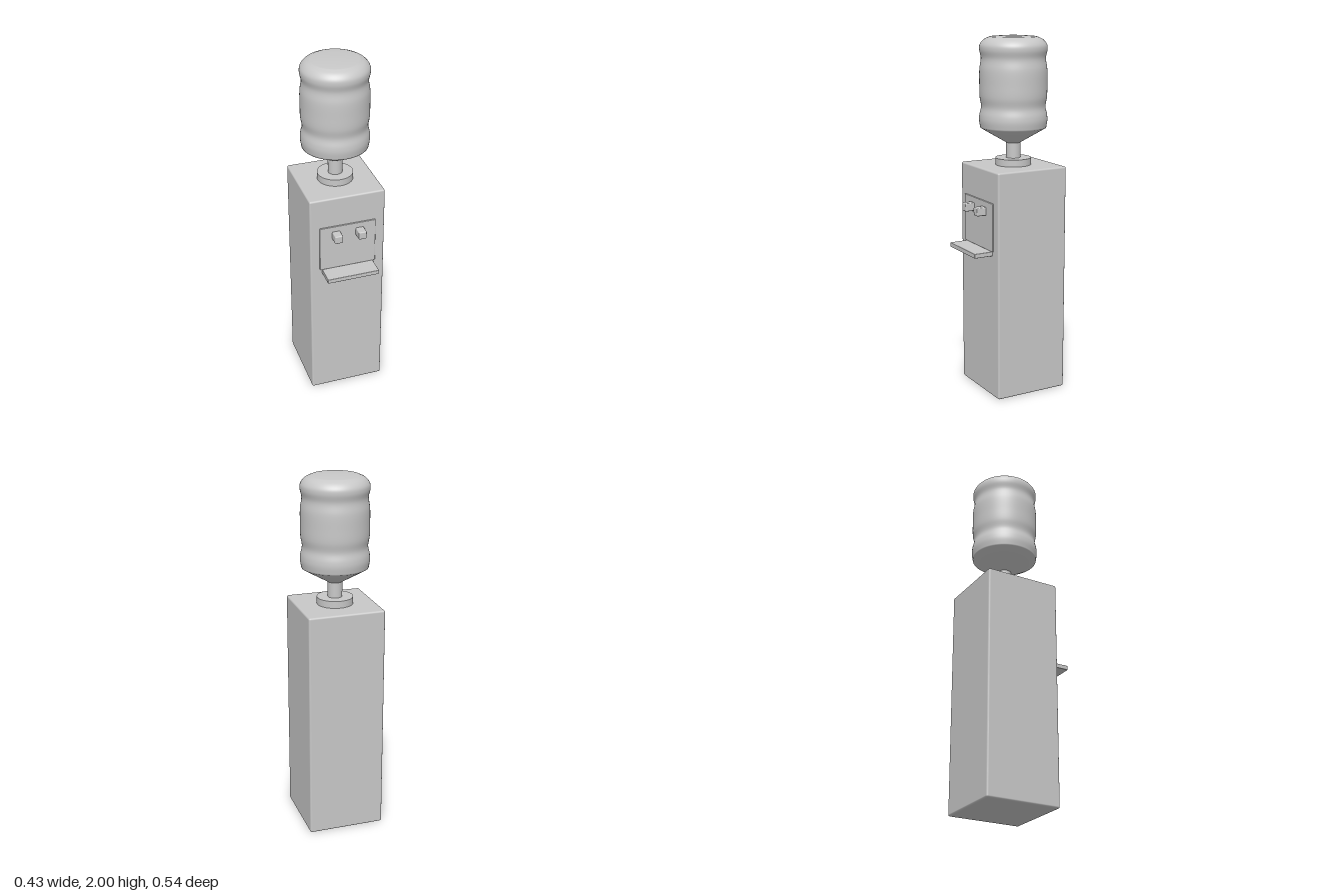
import * as THREE from 'three';
import { RoundedBoxGeometry } from 'three/addons/geometries/RoundedBoxGeometry.js';

const AXIS_Z = -0.055; // shared centre line of cabinet and bottle

export function createModel() {
  const model = new THREE.Group();
  model.name = 'waterDispenser';
  const grey = new THREE.MeshStandardMaterial({ name: 'light grey', color: 0xc8c8c8 });

  function add(name, geometry, x, y, z) {
    const mesh = new THREE.Mesh(geometry, grey);
    mesh.name = name;
    mesh.position.set(x, y, z);
    model.add(mesh);
    return mesh;
  }
  // Rounded box given by its limits
  function box(name, x0, x1, y0, y1, z0, z1, radius) {
    const g = new RoundedBoxGeometry(x1 - x0, y1 - y0, z1 - z0, 3, radius);
    return add(name, g, (x0 + x1) / 2, (y0 + y1) / 2, (z0 + z1) / 2);
  }

  // Cabinet with its front panel and drip tray
  box('cabinet', -0.215, 0.215, 0, 1.29, -0.27, 0.16, 0.01);
  box('frontPanel', -0.162, 0.162, 0.845, 1.115, 0.15, 0.167, 0.004);
  box('dripTray', -0.149, 0.149, 0.82, 0.845, 0.15, 0.27, 0.003);

  // Pair of taps
  for (const [name, x] of [['leftTap', 0.068], ['rightTap', -0.068]]) {
    box(name, x - 0.023, x + 0.023, 1.037, 1.083, 0.155, 0.222, 0.006);
  }

  // Collar and neck under the bottle
  add('collar', new THREE.CylinderGeometry(0.1, 0.1, 0.04, 48), 0, 1.309, AXIS_Z);
  add('neck', new THREE.CylinderGeometry(0.04, 0.04, 0.12, 32), 0, 1.37, AXIS_Z);

  // Bottle: straight cone below, waved wall and rounded shoulder above
  const wall = new THREE.CatmullRomCurve3([
    [0.183, 1.498], [0.189, 1.54], [0.187, 1.57], [0.178, 1.615], [0.186, 1.67],
    [0.187, 1.74], [0.186, 1.82], [0.178, 1.88], [0.187, 1.925], [0.184, 1.952],
    [0.163, 1.978], [0.13, 1.994],
  ].map(([r, y]) => new THREE.Vector3(r, y, 0)), false, 'centripetal');
  const profile = [
    new THREE.Vector2(0.038, 1.413),
    new THREE.Vector2(0.11, 1.455),
    ...wall.getPoints(60).map((p) => new THREE.Vector2(p.x, p.y)),
    new THREE.Vector2(0.07, 1.999),
    new THREE.Vector2(0, 2),
  ];
  add('bottle', new THREE.LatheGeometry(profile, 64), 0, 0, AXIS_Z);

  return model;
}
